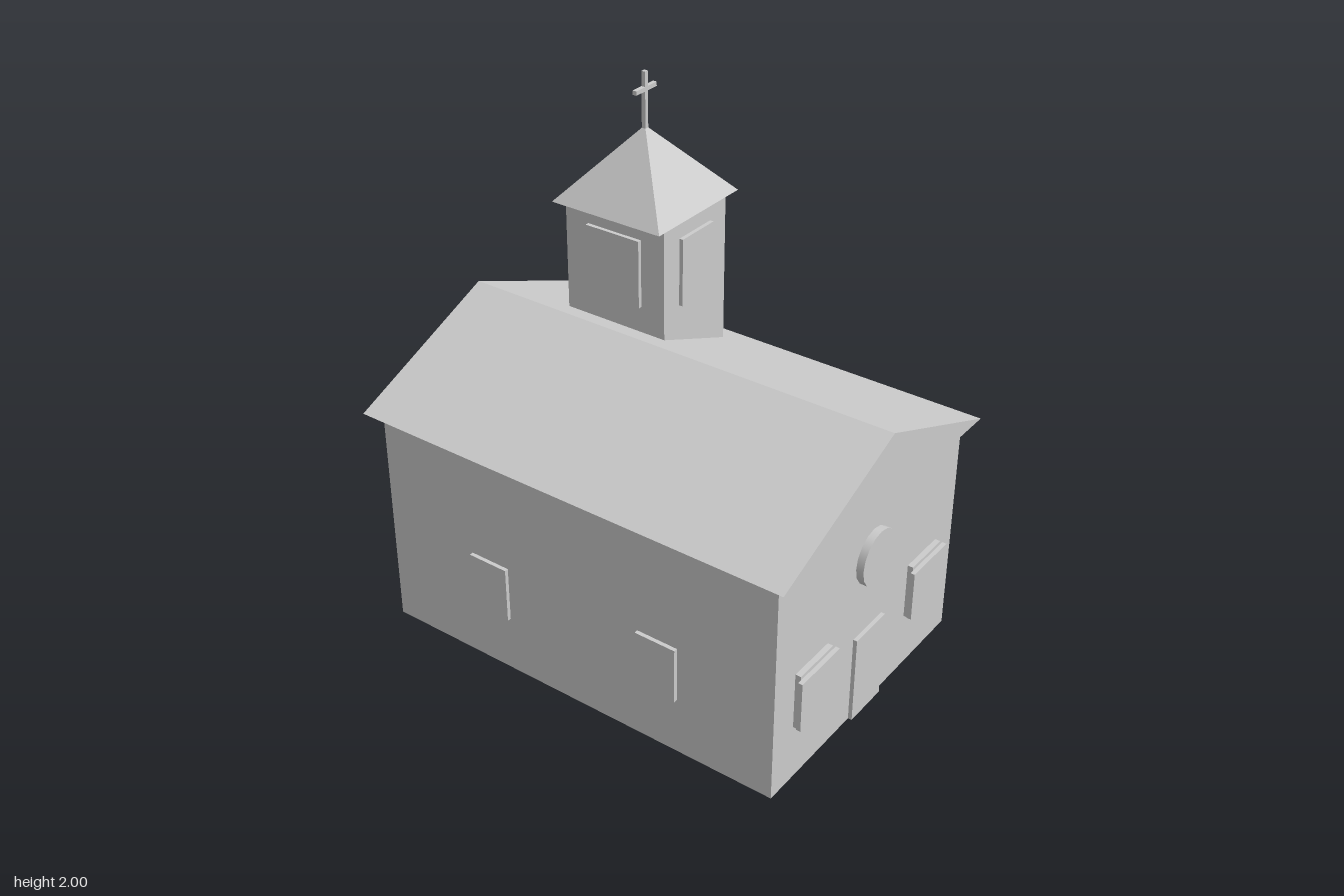
import * as THREE from 'three';

export function createModel() {
  const model = new THREE.Group();
  model.name = 'chapel';
  const stone = new THREE.MeshStandardMaterial({ color: 0xcccccc });
  stone.name = 'paleGrey';

  const add = (name, geometry, x, y, z, parent = model) => {
    const mesh = new THREE.Mesh(geometry, stone);
    mesh.name = name;
    mesh.position.set(x, y, z);
    parent.add(mesh);
    return mesh;
  };
  // Box given by its lower and upper bounds on each axis
  const block = (name, [x0, x1], [y0, y1], [z0, z1], parent) =>
    add(name, new THREE.BoxGeometry(x1 - x0, y1 - y0, z1 - z0),
      (x0 + x1) / 2, (y0 + y1) / 2, (z0 + z1) / 2, parent);

  // Nave walls
  block('walls', [-0.58, 0.58], [0, 0.89], [-0.835, 0.835]);

  // Solid gabled roof with overhanging eaves
  const gable = new THREE.Shape();
  gable.moveTo(-0.63, 0);
  gable.lineTo(0.63, 0);
  gable.lineTo(0, 0.262);
  gable.closePath();
  add('roof', new THREE.ExtrudeGeometry(gable, { depth: 1.766, bevelEnabled: false }), 0, 0.889, -0.883);

  // Front door and round window
  block('door', [-0.093, 0.093], [0, 0.35], [0.825, 0.85]);
  const round = add('roundWindow', new THREE.CylinderGeometry(0.106, 0.106, 0.04, 16), 0, 0.653, 0.843);
  round.rotation.x = Math.PI / 2;

  // Layered front windows and plain side windows, mirrored
  for (const s of [-1, 1]) {
    const cx = s * 0.362;
    block('frontWindowFrame', [cx - 0.098, cx + 0.098], [0.225, 0.448], [0.825, 0.856]);
    block('frontWindowPane', [cx - 0.114, cx + 0.114], [0.236, 0.434], [0.856, 0.873]);
    for (const cz of [0.368, -0.365]) {
      const wx = s * 0.5825;
      block('sideWindow', [wx - 0.0125, wx + 0.0125], [0.226, 0.445], [cz - 0.082, cz + 0.082]);
    }
  }

  // Bell tower rising out of the left roof slope
  const tower = new THREE.Group();
  tower.name = 'bellTower';
  model.add(tower);
  const tx = 0.299, tz = -0.333;
  block('towerWalls', [0.117, 0.484], [0.948, 1.536], [-0.549, -0.117], tower);
  block('towerFrontWindow', [0.206, 0.39], [1.204, 1.465], [-0.13, -0.102], tower);
  block('towerRightWindow', [0.102, 0.13], [1.204, 1.465], [-0.449, -0.217], tower);
  block('towerLeftWindow', [0.47, 0.495], [1.204, 1.465], [-0.449, -0.217], tower);

  // Four-sided spire, turned so its edges follow the tower walls
  const spire = new THREE.ConeGeometry(0.235 * Math.SQRT2, 0.267, 4).toNonIndexed();
  spire.rotateY(Math.PI / 4);
  spire.computeVertexNormals();
  add('spire', spire, tx, 1.535 + 0.1335, tz, tower);

  // Cross on the spire
  const h = 0.008;
  block('crossPost', [tx - h, tx + h], [1.785, 2], [tz - h, tz + h], tower);
  block('crossBar', [tx - 0.058, tx + 0.058], [1.929, 1.945], [tz - h, tz + h], tower);

  return model;
}
